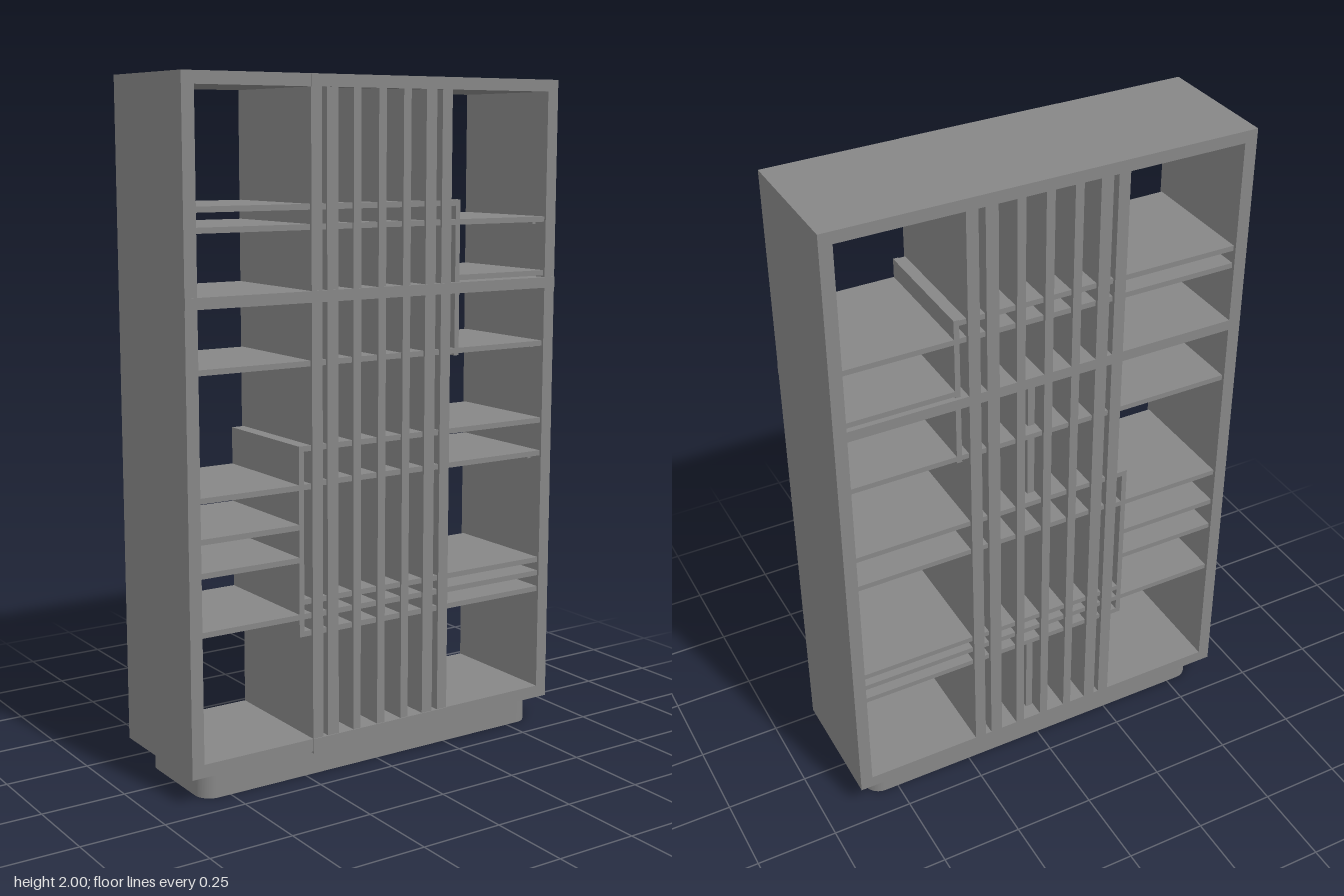
import * as THREE from 'three';

const material = new THREE.MeshStandardMaterial({ color: 0x868686 });

// Panel given by its limits on each axis
function panel(parent, name, x0, x1, y0, y1, z0, z1) {
  const mesh = new THREE.Mesh(new THREE.BoxGeometry(x1 - x0, y1 - y0, z1 - z0), material);
  mesh.name = name;
  mesh.position.set((x0 + x1) / 2, (y0 + y1) / 2, (z0 + z1) / 2);
  parent.add(mesh);
}

function roundedRect(target, hx, hy, r) {
  target.moveTo(-hx + r, -hy);
  target.lineTo(hx - r, -hy);
  target.absarc(hx - r, -hy + r, r, -Math.PI / 2, 0);
  target.absarc(hx - r, hy - r, r, 0, Math.PI / 2);
  target.absarc(-hx + r, hy - r, r, Math.PI / 2, Math.PI);
  target.absarc(-hx + r, -hy + r, r, Math.PI, Math.PI * 1.5);
  return target;
}

export function createModel() {
  const model = new THREE.Group();
  model.name = 'openBookcase';
  const W = 0.635, BACK = -0.198, FRONT = 0.195, TRIM = 0.198;

  // Hollow plinth with rounded corners and two cross braces
  const plinth = new THREE.Group();
  plinth.name = 'plinth';
  plinth.position.set(0.002, 0, 0.003);
  const outline = roundedRect(new THREE.Shape(), 0.59, 0.166, 0.05);
  outline.holes.push(roundedRect(new THREE.Path(), 0.568, 0.144, 0.03));
  const ring = new THREE.ExtrudeGeometry(outline, { depth: 0.08, bevelEnabled: false, curveSegments: 8 });
  ring.rotateX(-Math.PI / 2);
  const ringMesh = new THREE.Mesh(ring, material);
  ringMesh.name = 'plinthFrame';
  plinth.add(ringMesh);
  for (const x of [-0.2, 0.2]) panel(plinth, 'plinthBrace', x - 0.011, x + 0.011, 0.003, 0.08, -0.144, 0.144);
  model.add(plinth);

  // Outer case: sides run flush from the bottom panel up to the top panel
  panel(model, 'bottomPanel', -W, W, 0.08, 0.118, BACK, FRONT);
  panel(model, 'topPanel', -W, W, 1.965, 2, BACK, FRONT);
  panel(model, 'middlePanel', -W, W, 1.381, 1.413, BACK, TRIM);
  for (const [a, b] of [[-W, -0.597], [0.597, W]]) {
    panel(model, 'lowerSide', a, b, 0.118, 1.381, BACK, FRONT);
    panel(model, 'upperSide', a, b, 1.413, 1.965, BACK, FRONT);
  }

  // Shallow raised trim across the central section
  panel(model, 'topTrim', -0.24, 0.24, 1.965, 1.999, 0.19, TRIM);
  panel(model, 'bottomTrim', -0.24, 0.24, 0.074, 0.118, 0.17, TRIM);

  // Vertical dividers: two thick pairs with thin fins between
  const dividers = new THREE.Group();
  dividers.name = 'verticalDividers';
  const spans = [[-0.24, -0.205], [-0.189, -0.152], [-0.101, -0.075], [-0.016, 0.01],
    [0.069, 0.095], [0.148, 0.185], [0.205, 0.24]];
  for (const [a, b] of spans) {
    panel(dividers, 'divider', a, b, 0.118, 1.381, BACK, FRONT);
    panel(dividers, 'divider', a, b, 1.413, 1.965, BACK, FRONT);
  }
  // Short recessed partitions beside the central fin
  for (const [a, b] of [[0.118, 0.525], [0.98, 1.381]]) {
    panel(dividers, 'shortPartition', 0.013, 0.035, a, b, -0.15, 0.15);
  }
  model.add(dividers);

  // Shelves: [left end, right end, centre height]
  const shelves = new THREE.Group();
  shelves.name = 'shelves';
  const E = 0.597, T = 0.008, S = 0.188;
  const rows = [
    [-E, 0.277, 1.643], [-E, E, 1.588], [0.262, E, 1.426], [-E, E, 1.211],
    [-0.28, E, 0.972], [-E, -0.22, 0.862], [-0.22, E, 0.869], [-E, -0.264, 0.748],
    [-E, -0.264, 0.653], [-0.264, E, 0.529], [-E, E, 0.486], [-0.28, E, 0.435],
  ];
  for (const [a, b, y] of rows) panel(shelves, 'shelf', a, b, y - T, y + T, -S, S);

  // Small support pins under the full-width shelves
  for (const y of [1.588, 1.211, 0.862, 0.486]) {
    for (const x of [-0.592, -0.198, 0.198, 0.592]) {
      for (const z of [-0.14, 0.14]) {
        panel(shelves, 'supportPin', x - 0.007, x + 0.007, y - T - 0.008, y - T, z - 0.007, z + 0.007);
      }
    }
  }
  model.add(shelves);

  // Upright ends of the two offset box frames
  panel(model, 'upperFrameEnd', 0.261, 0.277, 1.197, 1.653, -S, S);
  panel(model, 'lowerFrameEnd', -0.28, -0.264, 0.427, 0.98, -S, S);
  return model;
}
